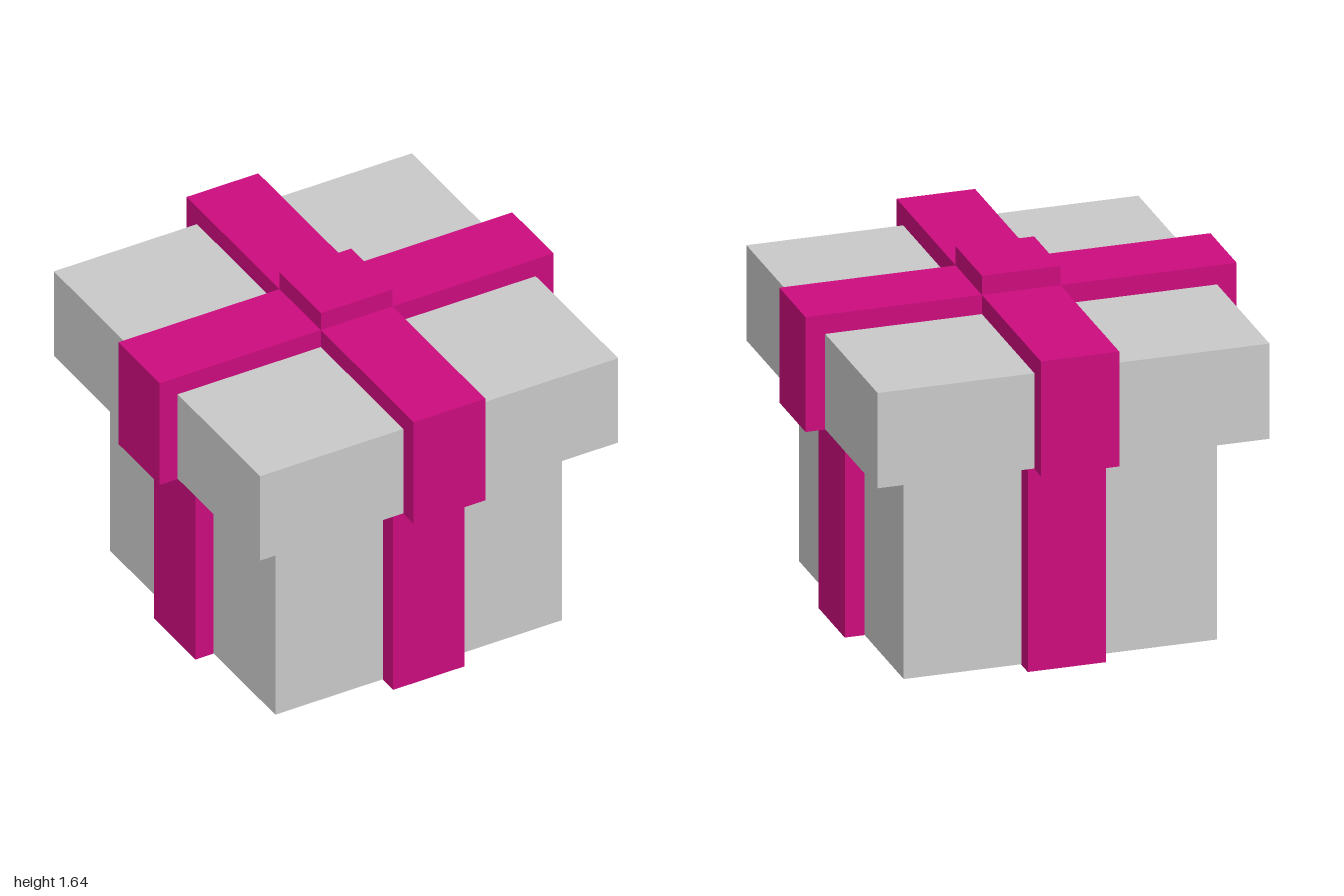
import * as THREE from 'three';

const U = 1 / 11; // module unit: ribbon thickness
const LIFT = 0.002; // keeps ribbon faces clear of the paper underneath

const paper = new THREE.MeshStandardMaterial({ color: 0xc9c9c9 });
paper.name = 'grey paper';
const ribbon = new THREE.MeshStandardMaterial({ color: 0xcb0c7d });
ribbon.name = 'magenta ribbon';

// Square block from y0 to y1
function block(name, half, y0, y1, material) {
  const mesh = new THREE.Mesh(new THREE.BoxGeometry(half * 2, y1 - y0, half * 2), material);
  mesh.position.y = (y0 + y1) / 2;
  mesh.name = name;
  return mesh;
}

// Plus-shaped ribbon, extruded upwards from y0 to y1
function cross(name, reach, y0, y1) {
  const w = 2 * U;
  const points = [];
  for (let i = 0; i < 4; i++) {
    for (const [x, y] of [[w, -w], [reach, -w], [reach, w]]) {
      points.push(new THREE.Vector2(x, y).rotateAround(new THREE.Vector2(), i * Math.PI / 2));
    }
  }
  const geometry = new THREE.ExtrudeGeometry(new THREE.Shape(points), { depth: y1 - y0, bevelEnabled: false });
  geometry.rotateX(-Math.PI / 2);
  const mesh = new THREE.Mesh(geometry, ribbon);
  mesh.position.y = y0;
  mesh.name = name;
  return mesh;
}

export function createModel() {
  const gift = new THREE.Group();
  gift.name = 'giftBox';
  gift.add(
    block('box', 8 * U, LIFT, 1, paper),
    cross('boxRibbon', 9 * U, 0, 1),
    block('lid', 10 * U, 1 + LIFT, 16 * U, paper),
    cross('lidRibbon', 11 * U, 1, 17 * U),
    block('knot', 2 * U, 17 * U, 18 * U, ribbon),
  );
  return gift;
}
